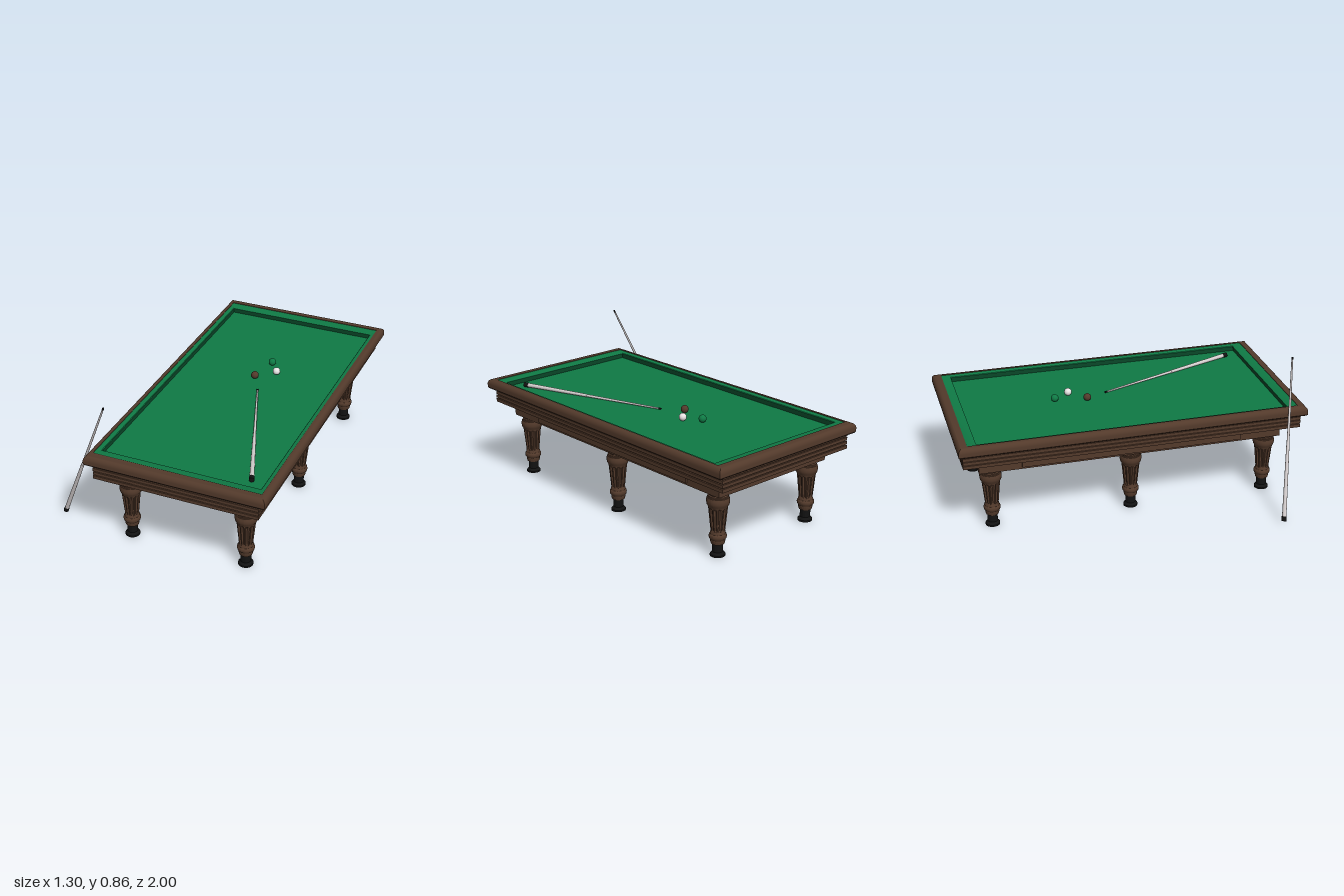
import * as THREE from 'three';
import { toCreasedNormals } from 'three/addons/utils/BufferGeometryUtils.js';

const material = (name, color, side = THREE.FrontSide) => {
  const m = new THREE.MeshStandardMaterial({ color, side });
  m.name = name;
  return m;
};

// Rectangular moulding: profile rows are [half width, half depth, height].
function moulding(profile) {
  const signs = [[1, 1], [1, -1], [-1, -1], [-1, 1]];
  const pos = [];
  for (let i = 0; i < profile.length - 1; i++) {
    for (let s = 0; s < 4; s++) {
      const p = signs[s], q = signs[(s + 1) % 4];
      const at = ([x, z, y], [sx, sz]) => [x * sx, y, z * sz];
      const a = at(profile[i], p), b = at(profile[i], q);
      const c = at(profile[i + 1], q), d = at(profile[i + 1], p);
      pos.push(...a, ...b, ...c, ...a, ...c, ...d);
    }
  }
  const g = new THREE.BufferGeometry();
  g.setAttribute('position', new THREE.Float32BufferAttribute(pos, 3));
  g.computeVertexNormals();
  return toCreasedNormals(g, 0.5);
}

const lathe = (points, segments) =>
  new THREE.LatheGeometry(points.map(([r, y]) => new THREE.Vector2(r, y)), segments);

// Turned leg with twelve flutes cut into its tapered shaft.
function legGeometry() {
  const g = lathe([
    [0, 0.07], [0.036, 0.07], [0.039, 0.08], [0.04, 0.095], [0.046, 0.102], [0.048, 0.112],
    [0.046, 0.122], [0.041, 0.127], [0.041, 0.134], [0.038, 0.14], [0.039, 0.15], [0.042, 0.18],
    [0.047, 0.23], [0.051, 0.268], [0.052, 0.276], [0.054, 0.285], [0.059, 0.292], [0.062, 0.305],
    [0.062, 0.32], [0.058, 0.332], [0.054, 0.335], [0.054, 0.342], [0.048, 0.346], [0.048, 0.365],
  ], 96);
  const p = g.attributes.position;
  for (let i = 0; i < p.count; i++) {
    const x = p.getX(i), y = p.getY(i), z = p.getZ(i);
    if (y < 0.145 || y > 0.27) continue;
    const wave = Math.max(0, Math.cos(12 * Math.atan2(z, x)) + 0.15);
    const k = 1 - 0.14 * Math.sqrt(wave);
    p.setXYZ(i, x * k, y, z * k);
  }
  return toCreasedNormals(g, 0.6);
}

export function createModel() {
  const wood = material('dark wood', 0x533a2b);
  const felt = material('green felt', 0x0f7a45);
  const shade = material('deep green felt', 0x0a4a2a);
  const black = material('black', 0x121212);
  const pale = material('pale cue', 0xd2cccc);
  const white = material('white ball', 0xe8e4e4);

  const model = new THREE.Group();
  const add = (parent, name, geometry, mat, x = 0, y = 0, z = 0) => {
    const mesh = new THREE.Mesh(geometry, mat);
    mesh.name = name;
    mesh.position.set(x, y, z);
    parent.add(mesh);
    return mesh;
  };

  const table = new THREE.Group();
  table.name = 'table';
  table.position.x = 0.133;
  model.add(table);

  // Apron with its closed underside and a small cove at the top
  add(table, 'apron', moulding([
    [0, 0, 0.36], [0.402, 0.88, 0.36], [0.402, 0.88, 0.423],
    [0.406, 0.884, 0.43], [0.425, 0.9, 0.436], [0.47, 0.975, 0.436],
  ]), wood);

  // Grooved frame below the rail
  const frame = [[0.47, 0.975, 0.435]];
  for (const y of [0.457, 0.48, 0.503]) {
    frame.push([0.47, 0.975, y - 0.003], [0.464, 0.969, y - 0.001],
      [0.464, 0.969, y + 0.001], [0.47, 0.975, y + 0.003]);
  }
  frame.push([0.47, 0.975, 0.524]);
  add(table, 'frame', moulding(frame), wood);

  // Rail with a rounded outer edge
  const rail = [[0.465, 0.97, 0.522], [0.505, 0.993, 0.522], [0.512, 1, 0.53], [0.512, 1, 0.55]];
  for (let i = 1; i <= 8; i++) {
    const a = (i / 8) * Math.PI / 2, inset = 0.026 * (1 - Math.cos(a));
    rail.push([0.512 - inset, 1 - inset, 0.55 + 0.03 * Math.sin(a)]);
  }
  rail.push([0.477, 0.948, 0.58], [0.477, 0.948, 0.572]);
  add(table, 'rail', moulding(rail), wood);

  // Cushions and playing bed
  add(table, 'cushionTop', moulding([
    [0.477, 0.948, 0.577], [0.454, 0.9, 0.571], [0.451, 0.894, 0.568],
  ]), felt);
  add(table, 'cushionFace', moulding([[0.451, 0.894, 0.568], [0.453, 0.897, 0.54]]), shade);
  const bed = add(table, 'bed', new THREE.PlaneGeometry(0.91, 1.8), felt, 0, 0.541, 0);
  bed.rotation.x = -Math.PI / 2;

  // Long side panels
  for (const s of [-1, 1]) {
    add(table, 'sidePanel', new THREE.BoxGeometry(0.012, 0.052, 1.28), wood, s * 0.404, 0.398, 0);
  }

  // Six legs on black feet
  const legGeo = legGeometry();
  const footGeo = toCreasedNormals(lathe([
    [0, 0], [0.041, 0], [0.041, 0.01], [0.036, 0.016], [0.029, 0.024], [0.029, 0.072],
  ], 32), 0.5);
  for (const x of [-0.337, 0.337]) {
    for (const z of [-0.808, 0, 0.808]) {
      const leg = new THREE.Group();
      leg.name = 'leg';
      leg.position.set(x, 0, z);
      add(leg, 'turnedLeg', legGeo, wood);
      add(leg, 'foot', footGeo, black);
      table.add(leg);
    }
  }

  // Balls
  const ballGeo = new THREE.SphereGeometry(0.022, 24, 16);
  add(model, 'brownBall', ballGeo, wood, 0.118, 0.563, -0.17);
  add(model, 'greenBall', ballGeo, felt, 0.155, 0.563, -0.355);
  add(model, 'whiteBall', ballGeo, white, 0.217, 0.563, -0.262);

  // Cues: black butt, thick and thin shaft, black tip
  const cue = (name, from, to) => {
    const a = new THREE.Vector3(...from), dir = new THREE.Vector3(...to).sub(a);
    const length = dir.length();
    const group = new THREE.Group();
    group.name = name;
    group.position.copy(a);
    group.quaternion.setFromUnitVectors(new THREE.Vector3(0, 1, 0), dir.normalize());
    const piece = (part, t0, t1, r0, r1, mat) => add(group, part,
      new THREE.CylinderGeometry(r1, r0, (t1 - t0) * length, 16), mat, 0, (t0 + t1) / 2 * length, 0);
    piece('butt', 0, 0.03, 0.014, 0.014, black);
    piece('lowerShaft', 0.03, 0.47, 0.0125, 0.009, pale);
    piece('upperShaft', 0.47, 0.985, 0.008, 0.005, pale);
    piece('tip', 0.985, 1, 0.0055, 0.005, black);
    model.add(group);
  };
  cue('leaningCue', [-0.64, 0.012, 0.78], [-0.28, 0.855, 0.925]);
  cue('tableCue', [0.502, 0.556, 0.82], [0.185, 0.548, -0.045]);

  return model;
}
